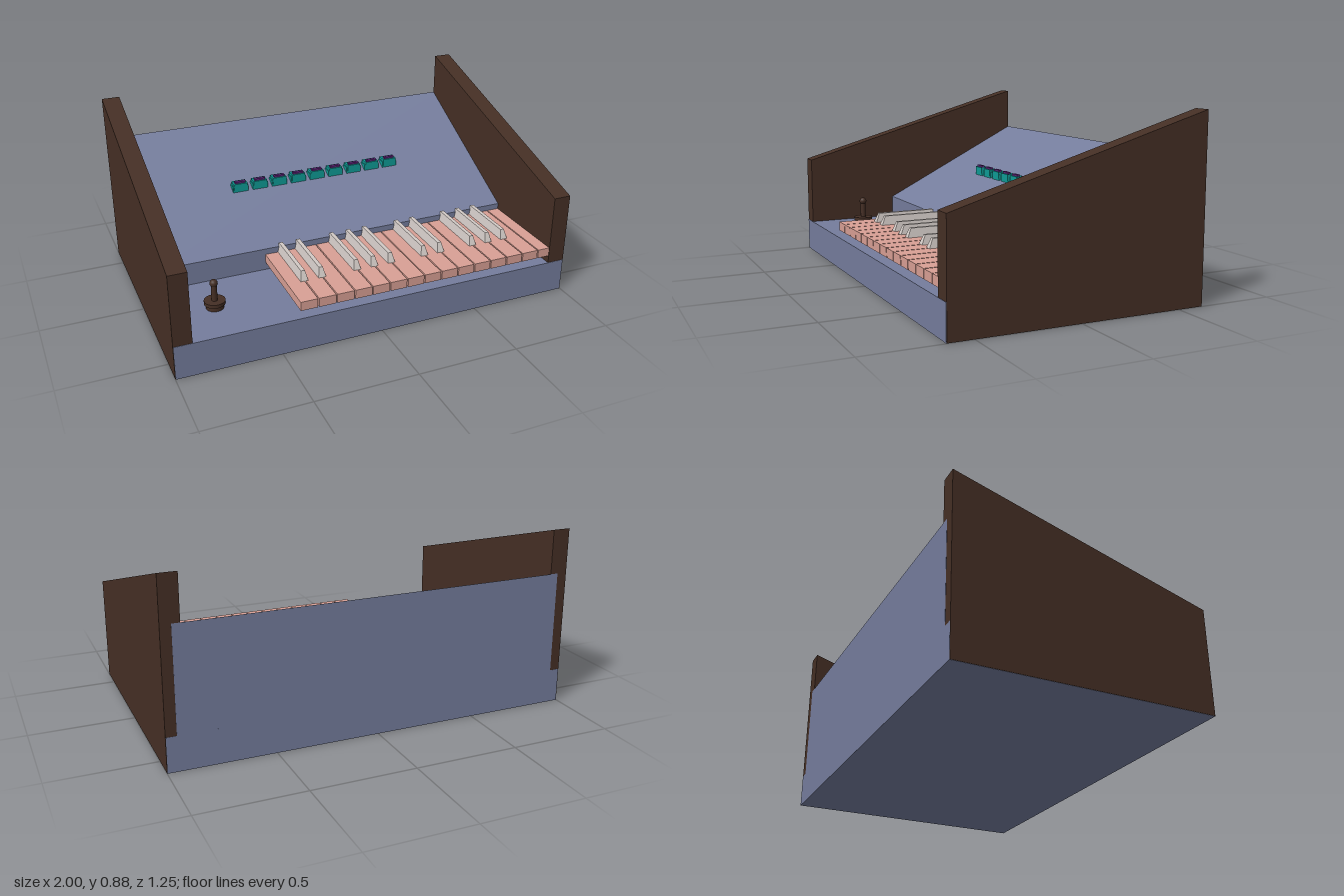
import * as THREE from 'three';

const mat = (name, color) => {
  const m = new THREE.MeshStandardMaterial({ color });
  m.name = name;
  return m;
};

// Extrudes a side profile of [z, y] points along x, between x0 and x1.
function sideExtrude(points, x0, x1) {
  const shape = new THREE.Shape(points.map(([z, y]) => new THREE.Vector2(-z, y)));
  const g = new THREE.ExtrudeGeometry(shape, { depth: x1 - x0, bevelEnabled: false });
  g.rotateY(Math.PI / 2);
  return g.translate(x0, 0, 0);
}

// Box given by its lower and upper corners.
function boxBetween(x0, x1, y0, y1, z0, z1) {
  return new THREE.BoxGeometry(x1 - x0, y1 - y0, z1 - z0)
    .translate((x0 + x1) / 2, (y0 + y1) / 2, (z0 + z1) / 2);
}

export function createModel() {
  const model = new THREE.Group();
  model.name = 'synthesizer';
  const blue = mat('slate blue', 0x757d9d);
  const brown = mat('dark wood', 0x452f25);
  const pink = mat('pink key', 0xd9a095);
  const grey = mat('pale grey key', 0xd2cac6);
  const teal = mat('teal button', 0x0f9c96);
  const purple = mat('purple light', 0x5c2478);

  const add = (parent, name, geometry, material) => {
    const mesh = new THREE.Mesh(geometry, material);
    mesh.name = name;
    parent.add(mesh);
    return mesh;
  };
  const group = (name) => {
    const g = new THREE.Group();
    g.name = name;
    model.add(g);
    return g;
  };

  // Case: full-width base with a sloping control panel behind the keys
  const deck = 0.167;
  add(model, 'base', boxBetween(-0.998, 0.998, 0, deck, -0.625, 0.625), blue);
  add(model, 'controlPanel', sideExtrude(
    [[0.14, deck - 0.02], [0.14, 0.28], [-0.625, 0.667], [-0.625, deck - 0.02]], -0.95, 0.95), blue);

  // Wooden cheeks
  const cheek = [[0.623, 0.001], [0.623, 0.52], [-0.624, 0.885], [-0.624, 0.001]];
  add(model, 'rightCheek', sideExtrude(cheek, -1, -0.912), brown);
  add(model, 'leftCheek', sideExtrude(cheek, 0.912, 1), brown);

  // Keyboard
  const keys = group('keyboard');
  const start = -0.412, pitch = 0.0899;
  for (let i = 0; i < 15; i++) {
    const x = start + i * pitch;
    add(keys, 'naturalKey', boxBetween(x + 0.003, x + pitch - 0.003, 0.205, 0.25, 0.13, 0.62), pink);
  }

  // Sharps: boxes narrowed towards the top, with a sloping front end
  const sharp = new THREE.BoxGeometry(0.046, 0.065, 0.33);
  const p = sharp.attributes.position;
  for (let i = 0; i < p.count; i++) {
    if (p.getY(i) > 0) {
      p.setX(i, p.getX(i) * 0.42);
      if (p.getZ(i) > 0) p.setZ(i, p.getZ(i) - 0.028);
    }
  }
  sharp.computeVertexNormals();
  for (const k of [1, 2, 4, 5, 6, 8, 9, 11, 12, 13]) {
    add(keys, 'sharpKey', sharp, grey).position.set(start + k * pitch - 0.003, 0.263, 0.295);
  }

  // Row of buttons with small lights
  const buttons = group('buttons');
  for (let i = 0; i < 9; i++) {
    const b = new THREE.Group();
    b.name = 'button';
    b.position.x = -0.419 + i * 0.1047;
    add(b, 'buttonBase', boxBetween(-0.041, 0.041, 0.44, 0.48, -0.24, -0.192), teal);
    add(b, 'buttonCap', boxBetween(-0.036, 0.036, 0.46, 0.493, -0.237, -0.189), teal);
    add(b, 'buttonLight', boxBetween(-0.028, 0.028, 0.485, 0.503, -0.213, -0.196), purple);
    buttons.add(b);
  }

  // Joystick
  const stick = group('joystick');
  stick.position.set(-0.74, deck, 0.38);
  add(stick, 'joystickFoot', new THREE.CylinderGeometry(0.042, 0.042, 0.025, 24).translate(0, 0.0125, 0), brown);
  add(stick, 'joystickCollar', new THREE.CylinderGeometry(0.05, 0.05, 0.017, 24).translate(0, 0.031, 0), brown);
  add(stick, 'joystickShaft', new THREE.CylinderGeometry(0.014, 0.014, 0.09, 16).translate(0, 0.08, 0), brown);
  add(stick, 'joystickBall', new THREE.SphereGeometry(0.019, 16, 12).translate(0, 0.128, 0), brown);

  return model;
}
